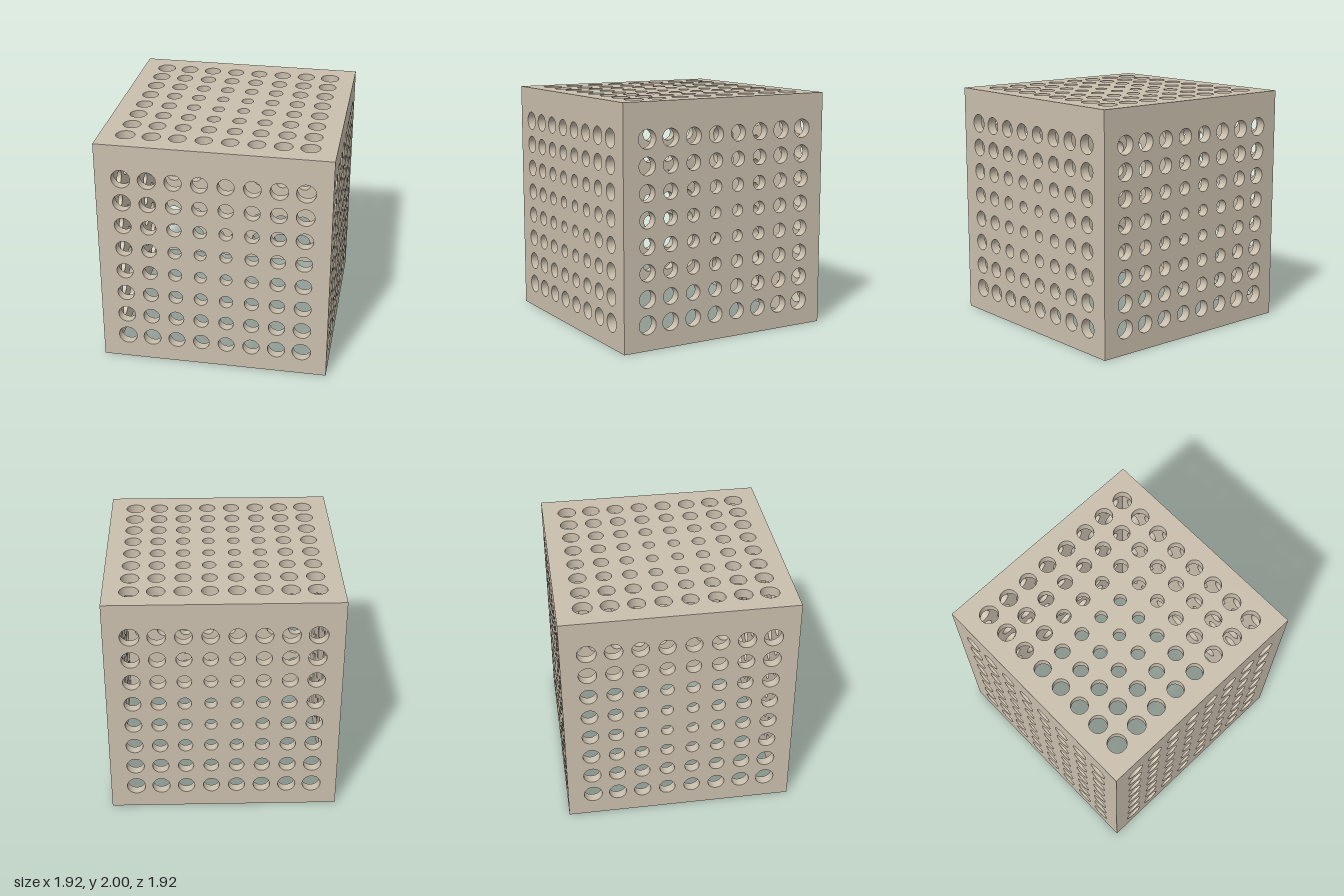
import * as THREE from 'three';
import { toCreasedNormals } from 'three/addons/utils/BufferGeometryUtils.js';

const SIZE = 1.92;          // outer width and depth, also the wall height
const HALF = SIZE / 2;
const WALL = 0.08;          // panel thickness
const COUNT = 8;            // holes per row
const PITCH = SIZE / (COUNT + 1);

// Square panel centred on the origin, drilled with holes that grow away from the middle
function panelGeometry(width) {
  const w = width / 2;
  const shape = new THREE.Shape([
    new THREE.Vector2(-w, -HALF), new THREE.Vector2(w, -HALF),
    new THREE.Vector2(w, HALF), new THREE.Vector2(-w, HALF),
  ]);
  for (let i = 1; i <= COUNT; i++) {
    for (let j = 1; j <= COUNT; j++) {
      const x = i * PITCH - HALF, y = j * PITCH - HALF;
      const radius = 0.0455 + 0.0308 * Math.hypot(x, y);
      shape.holes.push(new THREE.Path().absarc(x, y, radius, 0, Math.PI * 2, true));
    }
  }
  const geometry = new THREE.ExtrudeGeometry(shape, { depth: WALL, bevelEnabled: false, curveSegments: 16 });
  return toCreasedNormals(geometry, 0.6);
}

export function createModel() {
  const model = new THREE.Group();
  model.name = 'perforatedBox';
  const material = new THREE.MeshStandardMaterial({ color: 0xcabfad });

  // Four walls; the side walls fit between the front and back ones
  const wide = panelGeometry(SIZE);
  const narrow = panelGeometry(SIZE - 2 * WALL);
  ['frontWall', 'leftWall', 'backWall', 'rightWall'].forEach((name, k) => {
    const wall = new THREE.Mesh(k % 2 ? narrow : wide, material);
    const angle = k * Math.PI / 2;
    wall.name = name;
    wall.rotation.y = angle;
    wall.position.set(Math.sin(angle) * (HALF - WALL), HALF, Math.cos(angle) * (HALF - WALL));
    model.add(wall);
  });

  // Top panel resting on the walls; the bottom stays open
  const top = new THREE.Mesh(wide, material);
  top.name = 'topPanel';
  top.rotation.x = -Math.PI / 2;
  top.position.y = SIZE;
  model.add(top);

  return model;
}
